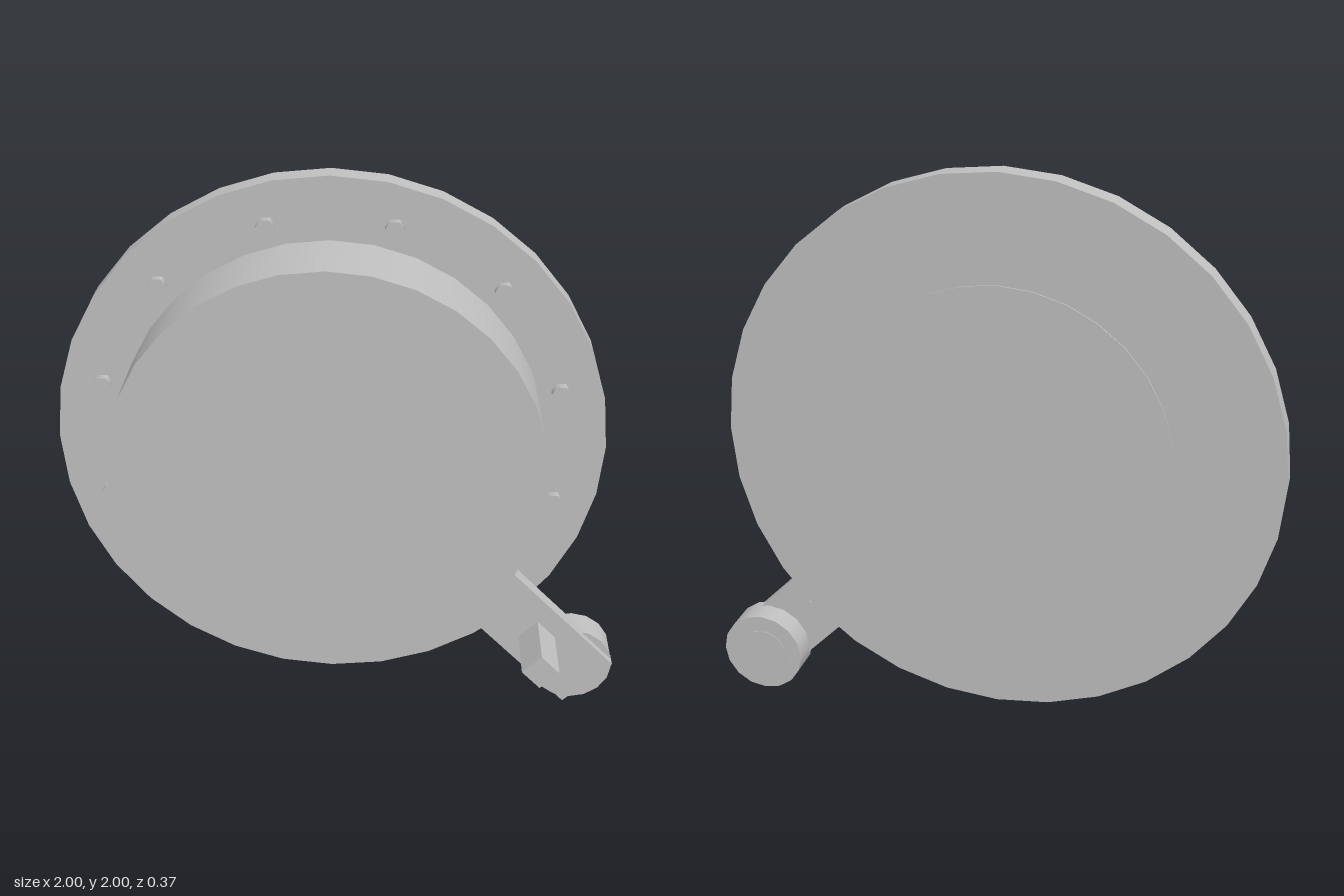
import * as THREE from 'three';

export function createModel() {
  const model = new THREE.Group();
  model.name = 'roundHatch';
  const grey = new THREE.MeshStandardMaterial({ color: 0xc0c0c0 });
  grey.name = 'plain grey';

  const add = (parent, name, geometry, x, y, z) => {
    const mesh = new THREE.Mesh(geometry, grey);
    mesh.name = name;
    mesh.position.set(x, y, z);
    parent.add(mesh);
    return mesh;
  };

  // Disc lying across z, from zBack to zFront
  const disc = (parent, name, radius, sides, x, y, zBack, zFront) => {
    const geometry = new THREE.CylinderGeometry(
      radius, radius, zFront - zBack, sides, 1, false, Math.PI / 2);
    geometry.rotateX(Math.PI / 2);
    return add(parent, name, geometry, x, y, (zBack + zFront) / 2);
  };

  // Flange, raised drum and thin rear plate
  const cx = -0.048, cy = 1.05;
  disc(model, 'flange', 0.952, 32, cx, cy, -0.182, -0.1);
  disc(model, 'drum', 0.736, 32, cx, cy, -0.12, 0.18);
  disc(model, 'rearPlate', 0.59, 32, cx, cy, -0.187, -0.17);

  // Ring of hexagonal bolts
  const bolts = new THREE.Group();
  bolts.name = 'bolts';
  model.add(bolts);
  for (let i = 0; i < 12; i++) {
    const a = Math.PI / 12 + i * Math.PI / 6;
    disc(bolts, 'bolt', 0.032, 6,
      cx + 0.81 * Math.cos(a), cy + 0.81 * Math.sin(a), -0.105, -0.071);
  }

  // Diagonal latch arm with a square handle
  const latch = new THREE.Group();
  latch.name = 'latch';
  model.add(latch);
  const arm = add(latch, 'arm', new THREE.BoxGeometry(0.57, 0.243, 0.06), 0.705, 0.295, -0.066);
  const handle = add(latch, 'handle', new THREE.BoxGeometry(0.094, 0.094, 0.225), 0.708, 0.293, 0.0725);
  arm.rotation.z = handle.rotation.z = -Math.PI / 4;

  // Hinge barrel behind the arm end, its cap, and a small pin
  disc(latch, 'hingeBarrel', 0.149, 16, 0.846, 0.154, -0.182, -0.066);
  disc(latch, 'hingeCap', 0.09, 16, 0.846, 0.154, -0.184, -0.17);
  disc(latch, 'pin', 0.018, 6, 0.67, 0.34, -0.12, -0.09);

  return model;
}
